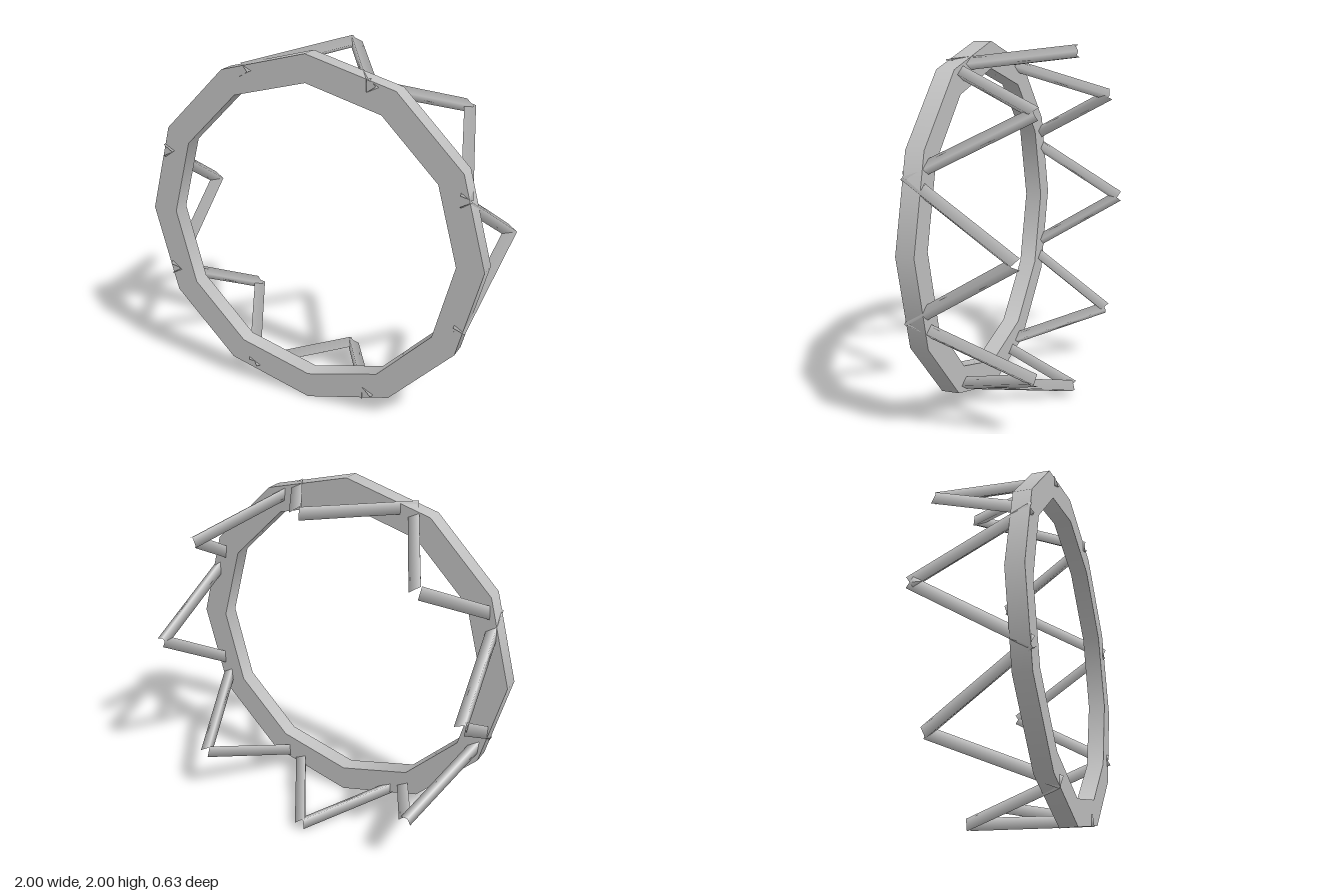
import * as THREE from 'three';

const FRONT = 0.295, BACK = -0.295, NODE_R = 0.95;

export function createModel() {
  const model = new THREE.Group();
  model.name = 'crownRing';
  const steel = new THREE.MeshStandardMaterial({ color: 0xc0c0c0 });
  steel.name = 'grey steel';

  // Twelve-sided ring: one lathe per wall keeps the rims sharp
  const ring = new THREE.Group();
  ring.name = 'ring';
  const section = [[0.85, 0.195], [1, 0.195], [1, FRONT], [0.85, FRONT]]
    .map(([r, h]) => new THREE.Vector2(r, h));
  ['ringBack', 'ringOuterWall', 'ringFront', 'ringInnerWall'].forEach((name, i) => {
    const wall = new THREE.LatheGeometry([section[i], section[(i + 1) % 4]], 12);
    wall.rotateX(Math.PI / 2);
    const mesh = new THREE.Mesh(wall, steel);
    mesh.name = name;
    ring.add(mesh);
  });
  model.add(ring);

  // Zigzag of open three-sided struts between the ring and the back points
  const node = (i) => {
    const a = (i * Math.PI) / 8;
    return new THREE.Vector3(
      NODE_R * Math.cos(a), NODE_R * Math.sin(a), i % 2 ? FRONT : BACK);
  };
  const zAxis = new THREE.Vector3(0, 0, 1);
  const struts = new THREE.Group();
  struts.name = 'struts';
  for (let i = 0; i < 16; i++) {
    const [from, to] = i % 2 ? [node(i + 1), node(i)] : [node(i), node(i + 1)];
    const along = to.clone().sub(from);
    const tube = new THREE.CylinderGeometry(0.04, 0.04, along.length(), 3, 1, true);
    tube.rotateX(Math.PI / 2).rotateZ(Math.PI / 2); // one edge towards +x
    const strut = new THREE.Mesh(tube, steel);
    strut.name = 'strut' + (i + 1);
    strut.position.copy(from).add(to).multiplyScalar(0.5);
    strut.quaternion.setFromUnitVectors(zAxis, along.normalize());
    struts.add(strut);
  }
  model.add(struts);

  ring.position.y = struts.position.y = 1;
  return model;
}
